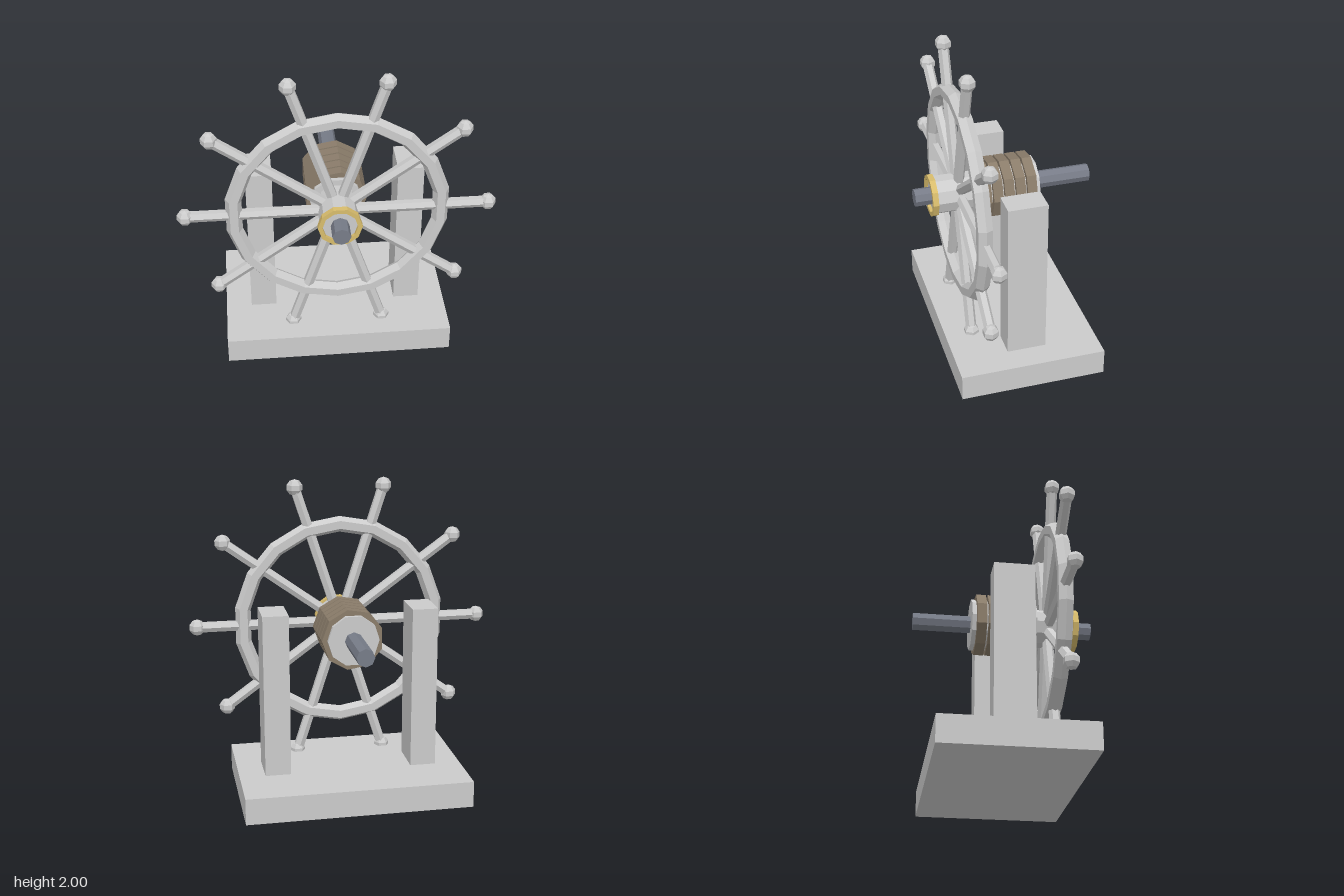
import * as THREE from 'three';

const material = (color) => new THREE.MeshStandardMaterial({ color, flatShading: true });
const grey = material(0xcccccc);
const iron = material(0x777c88);
const rope = material(0x8a7c6a);
const brass = material(0xd8bc6c);

const AXIS_Y = 1.06; // height of the axle
const WHEEL_Z = 0.29; // plane of the wheel

export function createModel() {
  const model = new THREE.Group();
  model.name = 'shipSteeringWheel';

  const add = (name, geometry, mat, x, y, z, parent = model) => {
    const mesh = new THREE.Mesh(geometry, mat);
    mesh.name = name;
    mesh.position.set(x, y, z);
    parent.add(mesh);
    return mesh;
  };

  // Faceted cylinder lying along z with a corner towards +x
  const roller = (name, radius, z0, z1, sides, mat) => {
    const g = new THREE.CylinderGeometry(radius, radius, z1 - z0, sides, 1, false, Math.PI / 2);
    return add(name, g.rotateX(Math.PI / 2), mat, 0, AXIS_Y, (z0 + z1) / 2);
  };

  // Base and two uprights
  add('base', new THREE.BoxGeometry(1.445, 0.17, 0.93), grey, 0, 0.085, 0);
  for (const side of [1, -1]) {
    add(side > 0 ? 'leftPost' : 'rightPost',
      new THREE.BoxGeometry(0.165, 1.05, 0.25), grey, side * 0.475, 0.695, 0);
  }

  // Axle, drum and hub
  roller('axle', 0.057, -0.57, 0.57, 8, iron);
  roller('drum', 0.163, -0.205, 0.205, 10, grey);
  roller('hub', 0.122, 0.2, 0.455, 10, grey);

  // Rope turns wound on the drum
  for (let i = 0; i < 5; i++) {
    const z = (i - 2) * 0.0735;
    roller('ropeTurn', 0.196, z - 0.031, z + 0.031, 9, rope);
  }

  // Brass ring around the front of the hub
  const section = [[0.108, -0.018], [0.136, -0.018], [0.136, 0.018], [0.108, 0.018], [0.108, -0.018]]
    .map(([r, h]) => new THREE.Vector2(r, h));
  const ring = new THREE.LatheGeometry(section, 10, Math.PI / 2).rotateX(Math.PI / 2);
  add('brassRing', ring, brass, 0, AXIS_Y, 0.458);

  // Wheel: rim, spokes and knobs
  const wheel = new THREE.Group();
  wheel.name = 'wheel';
  wheel.position.set(0, AXIS_Y, WHEEL_Z);
  model.add(wheel);

  const rim = new THREE.TorusGeometry(0.644, 0.051, 6, 18).rotateZ(Math.PI / 18);
  add('rim', rim, grey, 0, 0, 0, wheel);

  const spokeGeometry = new THREE.CylinderGeometry(0.035, 0.035, 0.87, 6);
  const knobGeometry = new THREE.SphereGeometry(0.053, 6, 5);
  for (let i = 0; i < 10; i++) {
    const a = (i / 10) * Math.PI * 2;
    const c = Math.cos(a), s = Math.sin(a);
    const spoke = add('spoke', spokeGeometry, grey, c * 0.475, s * 0.475, 0, wheel);
    spoke.rotation.z = a - Math.PI / 2;
    add('knob', knobGeometry, grey, c * 0.932, s * 0.932, 0, wheel);
  }

  return model;
}
